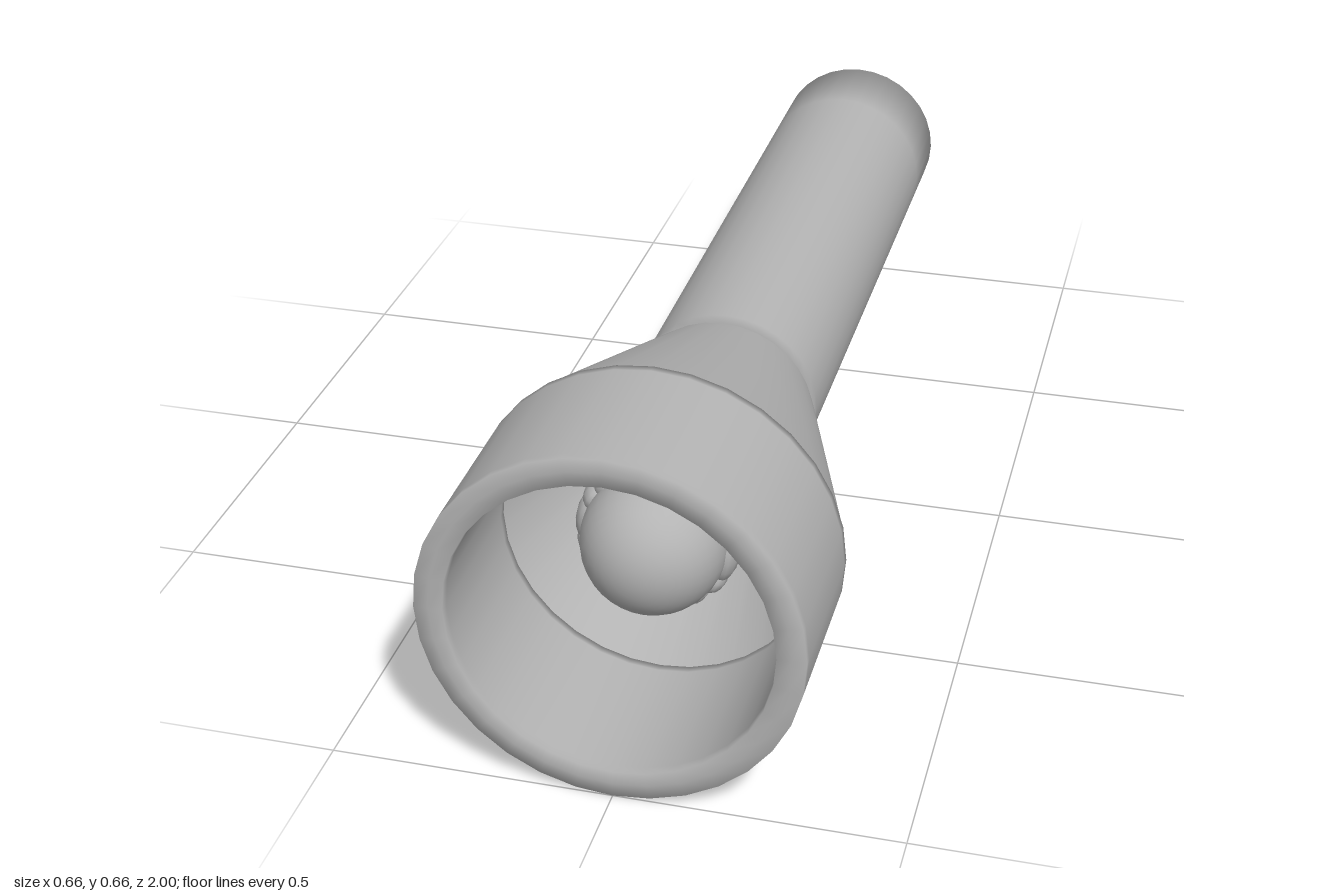
import * as THREE from 'three';

const SIDES = 32;
const AXIS_Y = 0.333;

export function createModel() {
  const model = new THREE.Group();
  const grey = new THREE.MeshStandardMaterial({ color: 0xb3b3b3, side: THREE.DoubleSide });
  grey.name = 'grey';

  const add = (name, geometry, parent = model) => {
    const mesh = new THREE.Mesh(geometry, grey);
    mesh.name = name;
    parent.add(mesh);
    return mesh;
  };
  // Turned part along the z axis, from [radius, z] pairs
  const turned = (name, profile) => {
    const points = profile.map(([r, z]) => new THREE.Vector2(r, z));
    return add(name, new THREE.LatheGeometry(points, SIDES).rotateX(Math.PI / 2));
  };

  // Handle: closed barrel with softly shaded flat ends
  turned('handle', [[0, -1], [0.173, -1], [0.173, -0.82], [0.173, 0.22], [0.173, 0.25], [0, 0.25]]);

  // Flared reflector shell, open at both ends
  turned('reflectorCone', [[0.173, 0.25], [0.183, 0.278], [0.322, 0.68], [0.329, 0.7]]);

  // Head ring with a thick rim
  turned('headRing', [
    [0.305, 0.7], [0.33, 0.7], [0.33, 0.715], [0.33, 0.985], [0.33, 1],
    [0.305, 1], [0.28, 1], [0.278, 0.985], [0.278, 0.715], [0.278, 0.7], [0.305, 0.7],
  ]);

  // Bulb on its stem
  turned('bulbStem', [[0.1, 0.25], [0.1, 0.66]]);
  add('bulb', new THREE.SphereGeometry(0.128, 32, 20).rotateX(Math.PI / 2)).position.z = 0.72;

  // Lumpy collar round the bulb: [angle in degrees, half length]
  const collar = new THREE.Group();
  collar.name = 'bulbCollar';
  model.add(collar);
  const lumps = [
    [90, 0.03], [62, 0.042], [38, 0.03], [15, 0.05], [-12, 0.055], [-38, 0.03], [-60, 0.032], [-78, 0.025],
    [-97, 0.028], [-118, 0.04], [-140, 0.028], [-162, 0.05], [172, 0.05], [150, 0.03], [131, 0.036], [112, 0.032],
  ];
  for (const [degrees, length] of lumps) {
    const a = THREE.MathUtils.degToRad(degrees);
    const lump = add('collarLump', new THREE.SphereGeometry(1, 12, 8), collar);
    lump.scale.set(0.026, length, 0.035);
    lump.position.set(Math.cos(a) * 0.121, Math.sin(a) * 0.121, 0.695);
    lump.rotation.z = a;
  }

  for (const part of model.children) part.position.y = AXIS_Y;
  return model;
}
